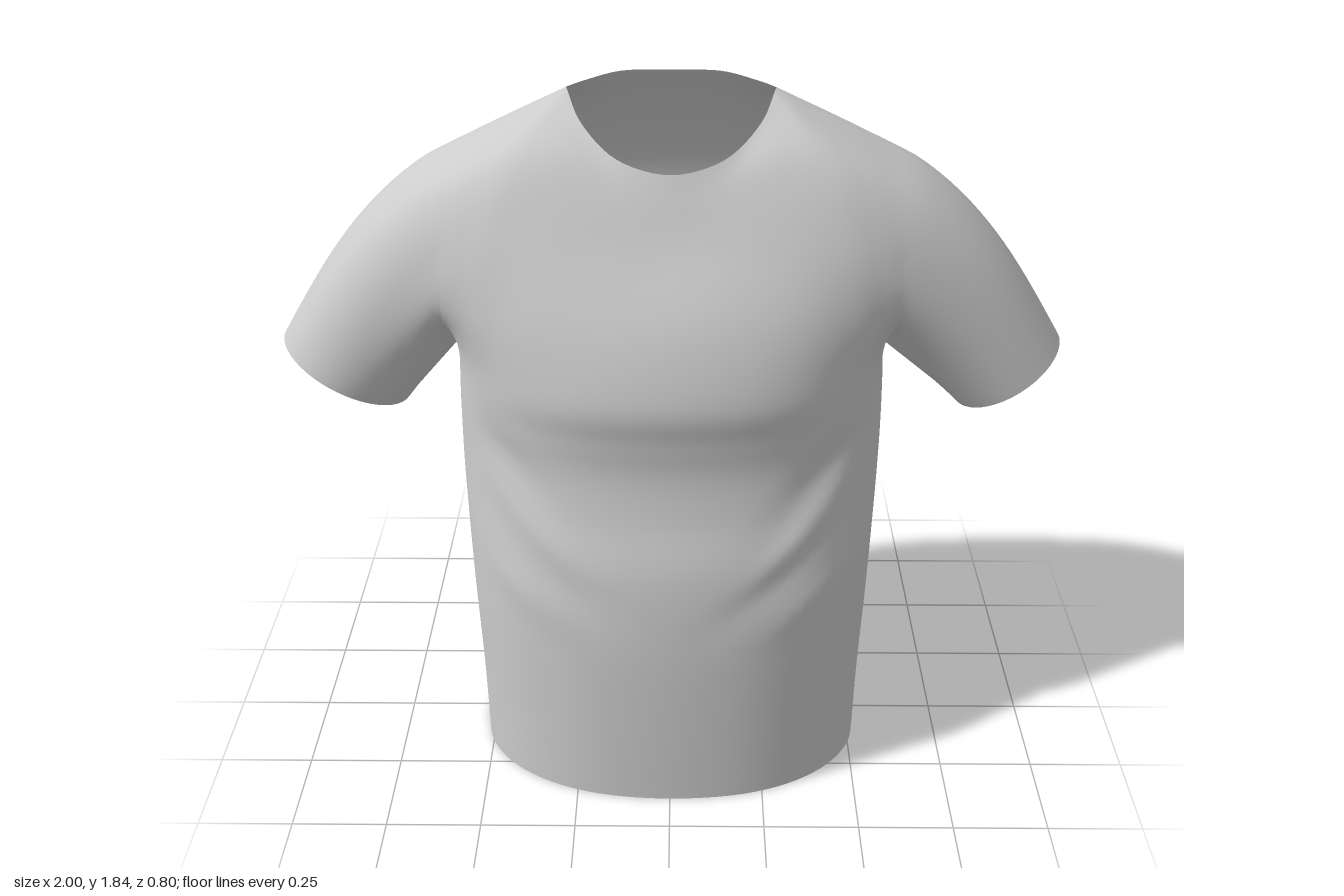
import * as THREE from 'three';
import { mergeVertices } from 'three/addons/utils/BufferGeometryUtils.js';

const SUB = 6;          // samples per control span
const V = (x, y, z) => new THREE.Vector3(x, y, z);

// Side seams lean back from hem to armpit
const seamZ = (y) => 0.03 - 0.045 * y;

// Trunk rings from hem to armpit: height, half width, front depth, back depth, squareness of the back
const RINGS = [
  [0.005, 0.525, 0.395, -0.37, 2.05], [0.25, 0.53, 0.40, -0.39, 2.05], [0.5, 0.54, 0.40, -0.40, 2.1],
  [0.7, 0.546, 0.385, -0.398, 2.15], [0.85, 0.55, 0.35, -0.39, 2.25], [0.97, 0.55, 0.335, -0.385, 2.4],
  [1.07, 0.548, 0.343, -0.38, 2.7], [1.18, 0.545, 0.355, -0.373, 3.1],
];
const FRONT_SQUARE = 2.2;
const ARMPIT = (RINGS.length - 1) * SUB;

// Rows above the armpit, centre to armhole; the last row is neckline plus shoulder seam
const FRONT = [
  [[0, 1.35, 0.308], [0.17, 1.35, 0.297], [0.32, 1.35, 0.268], [0.44, 1.34, 0.222], [0.51, 1.33, 0.182], [0.56, 1.32, 0.148]],
  [[0, 1.52, 0.215], [0.16, 1.53, 0.21], [0.3, 1.535, 0.2], [0.42, 1.53, 0.183], [0.5, 1.51, 0.165], [0.56, 1.49, 0.148]],
  [[0, 1.62, 0.17], [0.13, 1.645, 0.155], [0.25, 1.7, 0.12], [0.36, 1.71, 0.1], [0.46, 1.675, 0.09], [0.56, 1.625, 0.08]],
  [[0, 1.685, 0.142], [0.125, 1.712, 0.115], [0.21, 1.775, 0.042], [0.25, 1.835, -0.05], [0.4, 1.763, -0.055], [0.56, 1.683, -0.06]],
];
const BACK = [
  [[0, 1.35, -0.378], [0.19, 1.35, -0.378], [0.33, 1.35, -0.362], [0.44, 1.34, -0.33], [0.51, 1.33, -0.298], [0.56, 1.32, -0.262]],
  [[0, 1.55, -0.345], [0.16, 1.55, -0.343], [0.3, 1.545, -0.332], [0.42, 1.53, -0.308], [0.5, 1.51, -0.282], [0.56, 1.49, -0.257]],
  [[0, 1.72, -0.255], [0.13, 1.725, -0.25], [0.25, 1.73, -0.228], [0.36, 1.71, -0.21], [0.46, 1.675, -0.2], [0.56, 1.625, -0.19]],
  [[0, 1.84, -0.172], [0.12, 1.84, -0.165], [0.21, 1.828, -0.125], [0.25, 1.835, -0.05], [0.4, 1.763, -0.055], [0.56, 1.683, -0.06]],
];

// Soft cloth folds on the front: x, y, angle, half length, half width, height
const FOLDS = [
  [0.34, 0.8, 0.8, 0.18, 0.04, 0.012], [0.26, 0.68, 0.65, 0.15, 0.04, -0.01],
  [0.38, 0.62, 0.6, 0.13, 0.04, 0.01], [0.4, 0.98, 0.8, 0.14, 0.04, -0.01],
];
function foldHeight(x, y) {
  let h = 0;
  for (const [fx, fy, a, len, wid, amp] of FOLDS) {
    const dx = Math.abs(x) - fx, dy = y - fy;
    const u = (dx * Math.cos(a) + dy * Math.sin(a)) / len;
    const v = (dy * Math.cos(a) - dx * Math.sin(a)) / wid;
    h += amp * Math.exp(-u * u - v * v);
  }
  return h * THREE.MathUtils.smoothstep(0.54 - Math.abs(x), 0, 0.12);
}

// Smooth curve through points, with equal samples in each span
const spline = (pts) => new THREE.CatmullRomCurve3(pts, false, 'catmullrom', 0.5)
  .getPoints((pts.length - 1) * SUB);

// Rows of points, right to left, for the front or back panel
function panel(isFront) {
  const half = RINGS.map(([y, w, f, b, square]) => Array.from({ length: 6 }, (_, k) => {
    const p = 2 / (isFront ? FRONT_SQUARE : square);
    const a = (k / 5) * Math.PI / 2;
    const c = k === 5 ? 0 : Math.cos(a) ** p;
    return [w * Math.sin(a) ** p, y, THREE.MathUtils.lerp(seamZ(y), isFront ? f : b, c)];
  })).concat(isFront ? FRONT : BACK);
  const across = half.map((row, i) => {
    const pts = [
      ...row.slice(1).reverse().map(([x, y, z]) => V(-x, y, z)),
      ...row.map(([x, y, z]) => V(x, y, z)),
    ];
    if (i < half.length - 1) return spline(pts);
    // Top row keeps sharp corners where the shoulder seams meet the neckline
    return [...spline(pts.slice(0, 3)), ...spline(pts.slice(2, 9)).slice(1), ...spline(pts.slice(8)).slice(1)];
  });
  const last = across[0].length - 1;
  const columns = across[0].map((_, j) => spline(across.map((row) => row[j])));
  return columns[0].map((_, i) => columns.map((col, j) => {
    const q = col[i];
    if ((j === 0 || j === last) && i <= ARMPIT) q.z = seamZ(q.y);
    else if (isFront) q.z += foldHeight(q.x, q.y);
    return q;
  }));
}

// Rows of points from the armhole to the cuff
function sleeve(front, back, side) {
  const edge = (rows) => rows.slice(ARMPIT).map((r) => (side > 0 ? r[r.length - 1] : r[0]));
  const hole = [...edge(front), ...edge(back).reverse().slice(1)];
  const steps = 18;
  const inner = side > 0 ? 0.745 : 0.69;   // lower end of the cuff
  const mid = (1 + inner) / 2, reach = (1 - inner) / 2;
  return Array.from({ length: steps + 1 }, (_, i) => hole.map((start, j) => {
    const u = i / steps;
    const a = (j / (hole.length - 1)) * Math.PI * 2;
    const cuff = V(side * (mid - reach * Math.cos(a)), 1.09 - 0.09 * Math.cos(a), -0.065 + 0.167 * Math.sin(a));
    const bulge = 0.046 * Math.sin(Math.PI * u ** 0.8) * (1 - Math.cos(a)) / 2;
    const q = start.clone().lerp(cuff, u);
    q.x += side * bulge * 0.74;
    q.y += bulge * 0.67;
    return q;
  }));
}

export function createModel() {
  const group = new THREE.Group();
  group.name = 'shortSleevedShirt';
  const positions = [], index = [], parts = [];

  function part(name, rows, flip) {
    const start = index.length, base = positions.length / 3, n = rows[0].length;
    rows.forEach((row) => row.forEach((q) => positions.push(q.x, q.y, q.z)));
    for (let i = 0; i < rows.length - 1; i++) {
      for (let j = 0; j < n - 1; j++) {
        const a = base + i * n + j, b = a + 1, c = b + n, d = a + n;
        if (flip) index.push(a, c, b, a, d, c);
        else index.push(a, b, c, a, c, d);
      }
    }
    parts.push({ name, start, end: index.length });
  }

  const front = panel(true), back = panel(false);
  part('frontPanel', front, false);
  part('backPanel', back, true);
  part('leftSleeve', sleeve(front, back, 1), true);
  part('rightSleeve', sleeve(front, back, -1), false);

  // Weld the seams so shading runs smoothly from one part to the next
  let cloth = new THREE.BufferGeometry();
  cloth.setAttribute('position', new THREE.Float32BufferAttribute(positions, 3));
  cloth.setIndex(index);
  cloth = mergeVertices(cloth, 1e-4);
  cloth.computeVertexNormals();
  const welded = Array.from(cloth.index.array);

  const material = new THREE.MeshStandardMaterial({ color: 0xcccccc, side: THREE.DoubleSide });
  for (const { name, start, end } of parts) {
    const geometry = new THREE.BufferGeometry();
    geometry.setAttribute('position', cloth.getAttribute('position'));
    geometry.setAttribute('normal', cloth.getAttribute('normal'));
    geometry.setIndex(welded.slice(start, end));
    const mesh = new THREE.Mesh(geometry, material);
    mesh.name = name;
    group.add(mesh);
  }
  return group;
}
